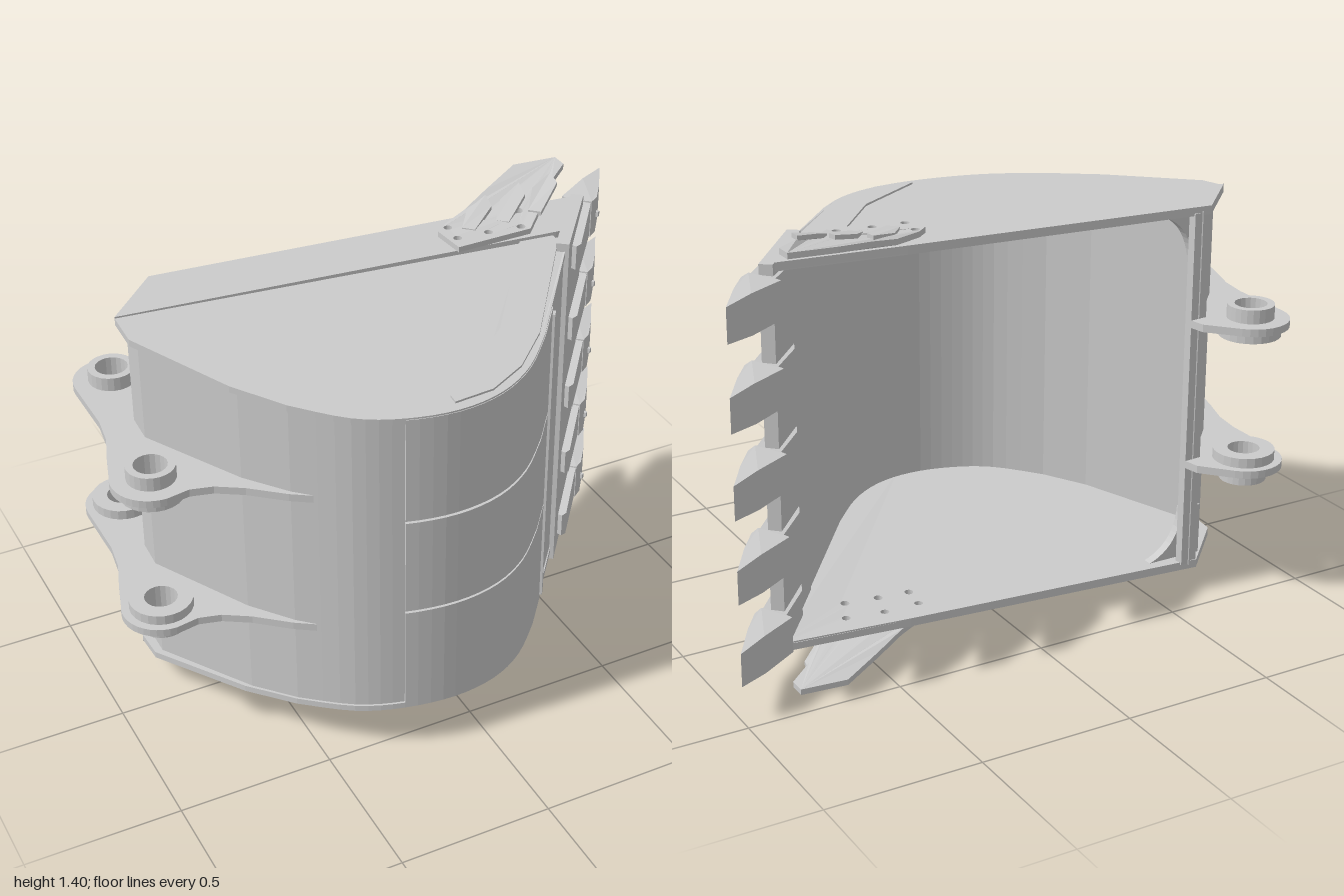
import * as THREE from 'three';

const MID = 0.6925; // height of the symmetry plane; parts are built around y = 0
const metal = new THREE.MeshStandardMaterial({ color: 0xcccccc, side: THREE.DoubleSide });

// Moves every vertex by a rule, then refreshes the faceted normals
function deform(geo, rule) {
  const p = geo.attributes.position;
  const v = new THREE.Vector3();
  for (let i = 0; i < p.count; i++) {
    rule(v.fromBufferAttribute(p, i));
    p.setXYZ(i, v.x, v.y, v.z);
  }
  geo.computeVertexNormals();
  return geo;
}

// Outline of [x, z] points extruded along y, with round holes [x, z, r]
function plate(points, y0, y1, holes = []) {
  const shape = new THREE.Shape(points.map(([x, z]) => new THREE.Vector2(x, -z)));
  for (const [x, z, r] of holes) {
    const h = new THREE.Path();
    h.absarc(x, -z, r, 0, Math.PI * 2, true);
    shape.holes.push(h);
  }
  const geo = new THREE.ExtrudeGeometry(shape, { depth: y1 - y0, bevelEnabled: false, curveSegments: 10 });
  return geo.rotateX(-Math.PI / 2).translate(0, y0, 0);
}

// Same plate on the upper (s = 1) or lower (s = -1) side
const sidePlate = (s, points, a, b, holes) => plate(points, s > 0 ? a : -b, s > 0 ? b : -a, holes);

// Points on a circle in the x-z plane, angles in degrees
function arc(cx, cz, r, a0, a1, n = 12) {
  return Array.from({ length: n + 1 }, (_, i) => {
    const a = THREE.MathUtils.degToRad(a0 + (a1 - a0) * i / n);
    return [cx + r * Math.cos(a), cz + r * Math.sin(a)];
  });
}

// Shifts a path sideways, positive distances towards the inside of the bucket
function offset(path, d) {
  return path.map(([x, z], i) => {
    const a = path[Math.max(i - 1, 0)], b = path[Math.min(i + 1, path.length - 1)];
    const tx = b[0] - a[0], tz = b[1] - a[1], l = Math.hypot(tx, tz);
    return [x + d * tz / l, z - d * tx / l];
  });
}
const band = (path, d0, d1) => [...offset(path, d0), ...offset(path, d1).reverse()];

// The bucket narrows towards its floor: half width as a function of z
const halfWidth = (z) => Math.min(0.594 - 0.1 * z, 0.615);
const taper = (geo) => deform(geo, (v) => { v.y *= halfWidth(v.z) / 0.594; });

export function createModel() {
  const root = new THREE.Group();
  root.name = 'bucket';
  const body = new THREE.Group();
  body.name = 'bucketParts';
  body.position.y = MID;
  root.add(body);
  const add = (name, geo) => {
    const m = new THREE.Mesh(geo, metal);
    m.name = name;
    body.add(m);
    return m;
  };

  // Curved shell from the hitch edge round to the lip
  const floorCurve = new THREE.SplineCurve([
    [-0.54, 0.36], [-0.4, 0.485], [-0.26, 0.547], [-0.1, 0.572], [0.05, 0.548], [0.18, 0.475], [0.3, 0.355],
  ].map((p) => new THREE.Vector2(...p))).getPoints(24).map((p) => [p.x, p.y]);
  const shellPath = [[-0.63, -0.4], [-0.81, -0.205], [-0.815, -0.1], [-0.64, 0.23], ...floorCurve, [0.6, -0.02]];
  add('shell', taper(plate(band(shellPath, 0, 0.022), -0.585, 0.585)));

  // Stiffener along the hitch edge of the opening
  add('rearFlange', plate([[-0.66, -0.395], [-0.6, -0.4], [-0.595, -0.375], [-0.64, -0.365]], -0.6, 0.6));

  // Cutting lip
  const lipPath = [[0.585, 0.005], [0.8, -0.265]];
  add('cuttingLip', plate(band(lipPath, -0.012, 0.03), -0.62, 0.62));

  // Floor wear plates and the bar closing their front end
  const wearPath = [...floorCurve.filter(([x]) => x > -0.27), [0.395, 0.236]];
  for (const [a, b] of [[-0.588, -0.181], [-0.172, 0.188], [0.198, 0.588]]) {
    add('floorWearPlate', taper(plate(band(wearPath, -0.01, 0.004), a, b)));
  }
  add('wearBar', taper(plate(band([[0.39, 0.243], [0.404, 0.225]], -0.018, 0.004), -0.565, 0.565)));

  const boltHoles = [
    [0.29, -0.23, 0.014], [0.41, -0.23, 0.014], [0.535, -0.21, 0.014],
    [0.285, -0.155, 0.014], [0.39, -0.145, 0.014], [0.5, -0.13, 0.014],
  ];
  const sideOutline = [
    [-0.66, -0.4], [-0.84, -0.215], [-0.84, -0.1], [-0.66, 0.22],
    ...offset(floorCurve, -0.008), [0.62, -0.04], [0.79, -0.262], [0.36, -0.31],
  ];
  const rimOutline = [[-0.66, -0.4], [-0.84, -0.215], [0.6, -0.08], [0.64, -0.08], [0.79, -0.265], [0.36, -0.31]];
  const wearOutline = [
    [0.48, -0.1], [0.19, 0.29], [-0.1, 0.52], [-0.1, 0.55], [0.03, 0.54],
    [0.16, 0.475], [0.29, 0.355], [0.59, -0.05], [0.59, -0.09],
  ];
  const cutterOutline = [
    [0.26, -0.1], [0.25, -0.22], [0.29, -0.255], [0.39, -0.305], [0.5, -0.36], [0.64, -0.43], [0.79, -0.415],
    [0.79, -0.36], [0.7, -0.285], [0.64, -0.225], [0.58, -0.165], [0.52, -0.105], [0.46, -0.105],
  ];
  // Side cutters bend outwards towards their blade
  const bend = (s) => (v) => {
    v.y += s * 0.054 * THREE.MathUtils.smoothstep(v.x - v.z, 0.6, 1.1);
  };

  for (const s of [1, -1]) {
    // Side wall, rim doubler and lower wear strip
    add('sideWall', taper(sidePlate(s, sideOutline, 0.572, 0.594, boltHoles)));
    add('sideRim', sidePlate(s, rimOutline, 0.597, 0.62, boltHoles));
    add('sideWearStrip', taper(sidePlate(s, wearOutline, 0.59, 0.601)));

    // Bolted side cutter with three raised knuckles
    add('sideCutter', deform(sidePlate(s, cutterOutline, 0.62, 0.6385, boltHoles), bend(s)));
    for (const [x, z] of [[0.325, -0.2], [0.445, -0.195], [0.56, -0.19]]) {
      const knuckle = [[x, z], [x + 0.03, z + 0.03], [x + 0.14, z - 0.06], [x + 0.15, z - 0.12], [x + 0.06, z - 0.08]];
      add('cutterKnuckle', deform(sidePlate(s, knuckle, 0.63, 0.644), (v) => {
        bend(s)(v);
        if (Math.abs(v.y) > 0.638 && v.x > x + 0.04) v.y += s * 0.008;
      }));
    }

    // Curved gusset in the corner between hitch edge and side wall
    const g = new THREE.Shape();
    g.moveTo(-0.7, s * 0.6).lineTo(-0.48, s * 0.6);
    g.quadraticCurveTo(-0.62, s * 0.57, -0.63, s * 0.42).lineTo(-0.7, s * 0.42);
    add('cornerGusset', new THREE.ExtrudeGeometry(g, { depth: 0.03, bevelEnabled: false }).translate(0, 0, -0.352));

    // Hitch ear with two pin bosses
    const pins = [[-0.785, -0.46], [-0.875, 0.105]];
    const earOutline = [
      ...arc(...pins[0], 0.125, -42, -180), [-0.91, -0.24], [-0.925, -0.14], [-0.96, -0.04],
      ...arc(...pins[1], 0.125, 205, 90), [-0.8, 0.217], [-0.73, 0.235], [-0.65, 0.285], [-0.55, 0.37],
      [-0.49, 0.41], [-0.5, 0.385], [-0.63, 0.22], [-0.8, -0.1], [-0.795, -0.2], [-0.6, -0.4], [-0.61, -0.45],
    ];
    add('hitchEar', sidePlate(s, earOutline, 0.2275, 0.2525, pins.map(([x, z]) => [x, z, 0.052])));
    for (const [x, z] of pins) {
      add('innerBoss', sidePlate(s, arc(x, z, 0.1, 0, 345, 23), 0.195, 0.2275, [[x, z, 0.052]]));
      add('outerBoss', sidePlate(s, arc(x, z, 0.076, 0, 345, 23), 0.2525, 0.298, [[x, z, 0.052]]));
    }
  }

  // Teeth: adapter clamped on the lip, pointed tip and locking pin
  const adapter = [[0.655, -0.04], [0.675, -0.045], [0.855, -0.275], [0.795, -0.325], [0.66, -0.16], [0.63, -0.09]];
  const tip = [[0.835, -0.245], [0.868, -0.268], [0.925, -0.345], [1, -0.465], [0.9, -0.41], [0.775, -0.335], [0.79, -0.3]];
  for (let i = -2; i <= 2; i++) {
    const y = i * 0.265;
    const widen = (v) => {
      v.y *= v.x < 0.84 ? THREE.MathUtils.mapLinear(v.x, 0.66, 0.84, 0.045, 0.066)
        : THREE.MathUtils.mapLinear(v.x, 0.84, 1, 0.066, 0.054);
      v.y += y;
    };
    add('toothAdapter', deform(plate(adapter, -0.95, 0.95), widen));
    add('toothTip', deform(plate(tip, -1, 1), widen));
    add('toothPin', new THREE.BoxGeometry(0.012, 0.018, 0.025).rotateY(0.65).translate(0.87, y, -0.275));
  }
  return root;
}
